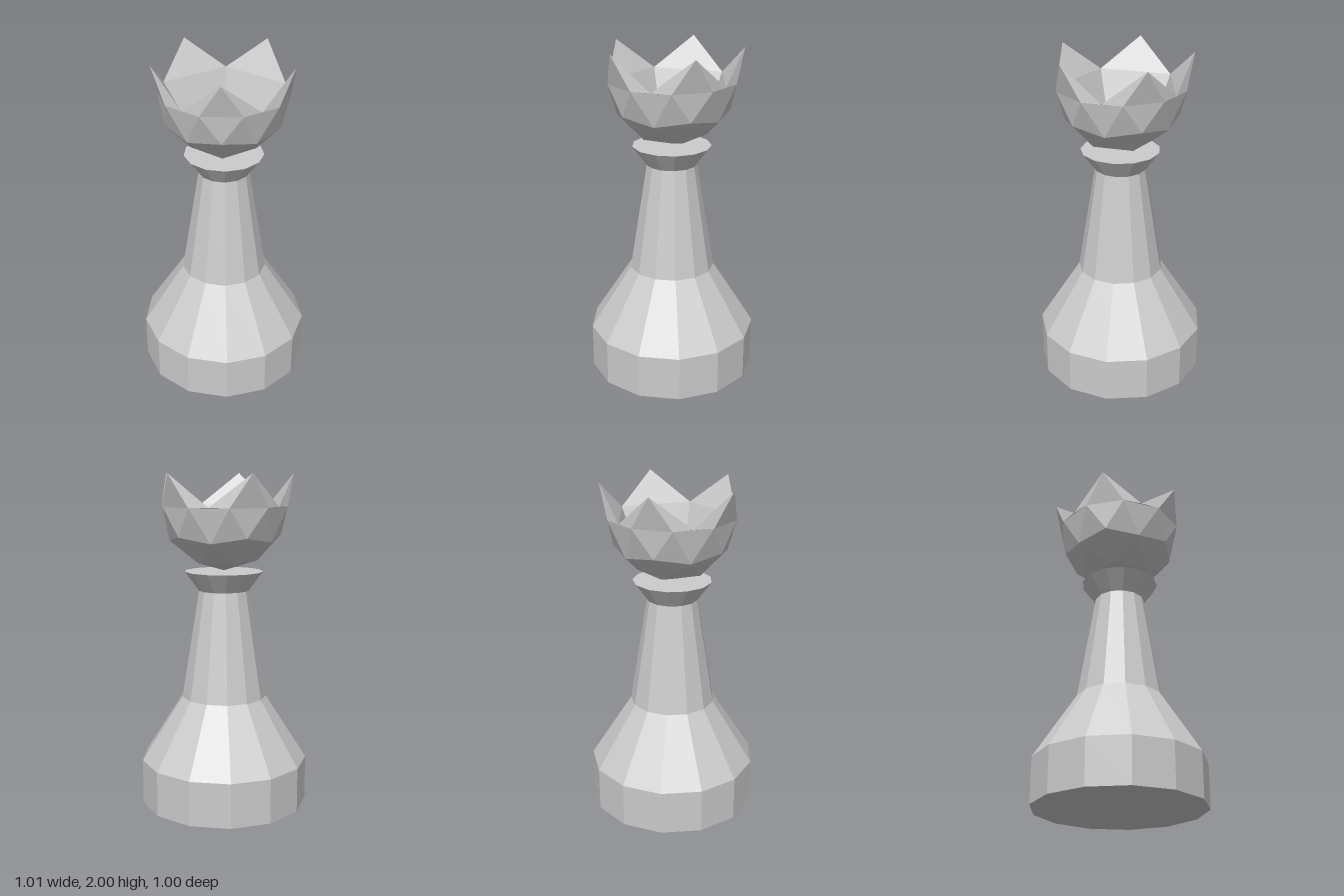
import * as THREE from 'three';

const material = new THREE.MeshStandardMaterial({ color: 0xcccccc, flatShading: true });

function facetedMesh(name, geometry) {
  const flat = geometry.index ? geometry.toNonIndexed() : geometry;
  flat.computeVertexNormals();
  const mesh = new THREE.Mesh(flat, material);
  mesh.name = name;
  return mesh;
}

// Thirteen-sided turned part from [radius, height] pairs, bottom to top
function turned(name, profile) {
  const points = profile.map(([r, y]) => new THREE.Vector2(r, y));
  const mesh = facetedMesh(name, new THREE.LatheGeometry(points, 13, Math.PI));
  mesh.position.z = 0.0074;
  return mesh;
}

// Five-pointed bowl: lower half of a faceted sphere, spikes, and a hollow
function crownGeometry() {
  const positions = [];
  const ring = (r, y) => (degrees) => {
    const a = THREE.MathUtils.degToRad(degrees);
    return [r * Math.cos(a), y, r * Math.sin(a)];
  };
  const face = (...corners) => corners.forEach((c) => positions.push(...c));

  const pole = [0, 1.43, 0];
  const low = ring(0.2, 1.487);
  const mid = ring(0.323, 1.61);
  const belly = ring(0.34, 1.64);
  const equator = ring(0.38, 1.81);
  const notch = ring(0.366, 1.812);
  const tip = ring(0.413, 2);
  const floor = ring(0.256, 1.57);
  const floorPeak = [0, 1.63, 0];

  for (let i = 0; i < 5; i++) {
    const a = 36 + 72 * i;
    const l = a - 36, r = a + 36;

    // Outer bowl
    face(pole, low(a), low(a + 72));
    face(low(a + 72), low(a), mid(r));
    face(low(a), mid(l), belly(a));
    face(low(a), belly(a), mid(r));
    face(belly(a), equator(a - 18), equator(a + 18));
    face(mid(r), belly(a), equator(a + 18));
    face(belly(a), mid(l), equator(a - 18));
    face(mid(r), equator(a + 18), equator(a + 54));
    face(equator(a + 54), equator(a + 18), notch(r));

    // Spike
    face(equator(a + 18), equator(a - 18), tip(a));
    face(equator(a - 18), notch(l), tip(a));
    face(notch(r), equator(a + 18), tip(a));

    // Inner wall and raised floor
    face(notch(l), notch(r), tip(a));
    face(floor(l), floor(r), notch(r));
    face(floor(l), notch(r), notch(l));
    face(floor(r), floor(l), floorPeak);
  }
  const geometry = new THREE.BufferGeometry();
  geometry.setAttribute('position', new THREE.Float32BufferAttribute(positions, 3));
  return geometry;
}

export function createModel() {
  const model = new THREE.Group();
  model.name = 'chessQueen';

  // Base, flared foot, tapering neck and collar in one closed body
  model.add(turned('body', [
    [0, 0], [0.507, 0], [0.507, 0.27], [0.257, 0.66],
    [0.151, 1.31], [0.235, 1.425], [0, 1.425],
  ]));

  const crown = facetedMesh('crown', crownGeometry());
  crown.position.z = 0.003;
  model.add(crown);
  return model;
}
